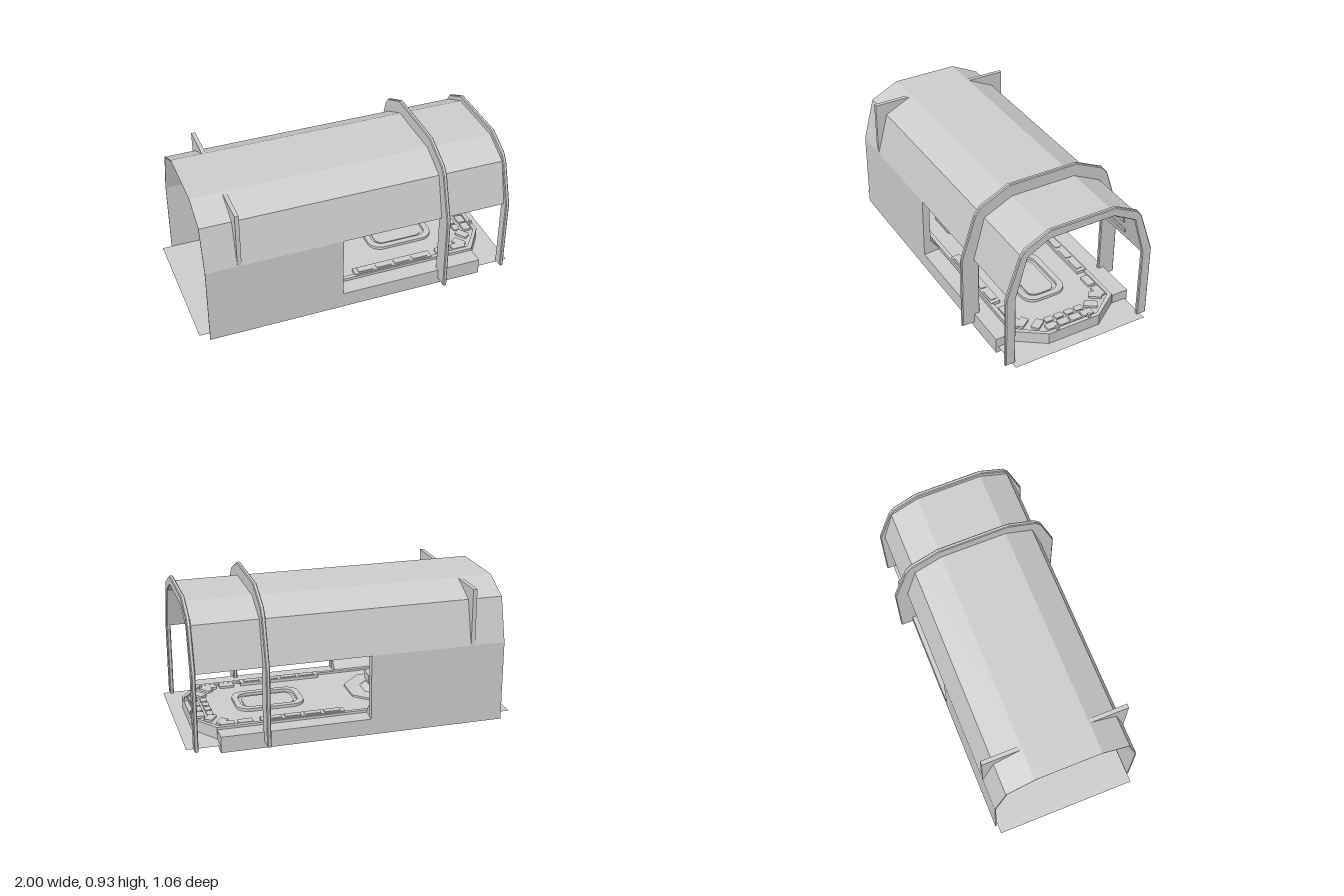
import * as THREE from 'three';

const grey = new THREE.MeshStandardMaterial({ color: 0xcccccc, flatShading: true, side: THREE.DoubleSide });

// Half sections as [z, y], from the side up to the roof
const OUTER = [[0.45, 0.5], [0.38, 0.768], [0.205, 0.855]];
const INNER = [[0.415, 0.5], [0.345, 0.752], [0.203, 0.83]];
const mirrored = (half) => [...half, ...half.slice().reverse().map(([z, y]) => [-z, y])];

function polygon(points) {
  return new THREE.Shape(points.map(([a, b]) => new THREE.Vector2(a, b)));
}

function roundedRect(w, h, r, cx = 0, cy = 0, Kind = THREE.Shape) {
  const s = new Kind();
  const x = w / 2 - r, y = h / 2 - r;
  s.absarc(cx + x, cy + y, r, 0, Math.PI / 2);
  s.absarc(cx - x, cy + y, r, Math.PI / 2, Math.PI);
  s.absarc(cx - x, cy - y, r, Math.PI, Math.PI * 1.5);
  s.absarc(cx + x, cy - y, r, Math.PI * 1.5, Math.PI * 2);
  s.closePath();
  return s;
}

export function createModel() {
  const model = new THREE.Group();

  function add(parent, name, geometry) {
    const mesh = new THREE.Mesh(geometry, grey);
    mesh.name = name;
    parent.add(mesh);
    return mesh;
  }
  function group(name) {
    const g = new THREE.Group();
    g.name = name;
    model.add(g);
    return g;
  }
  // Cross-section in [z, y] swept along x
  function alongX(parent, name, shape, x0, x1, bevel = 0) {
    const g = new THREE.ExtrudeGeometry(shape, {
      depth: x1 - x0 - 2 * bevel, curveSegments: 4, bevelEnabled: bevel > 0,
      bevelSize: bevel, bevelThickness: bevel, bevelOffset: -bevel, bevelSegments: 1,
    });
    g.translate(0, 0, bevel).rotateY(Math.PI / 2).translate(x0, 0, 0);
    return add(parent, name, g);
  }
  const section = (points) => polygon(points.map(([z, y]) => [-z, y]));
  // Plan outline in [x, z] raised from y0 to y1
  function upward(parent, name, shape, y0, y1) {
    const g = new THREE.ExtrudeGeometry(shape, { depth: y1 - y0, bevelEnabled: false, curveSegments: 5 });
    g.rotateX(-Math.PI / 2).translate(0, y0, 0);
    return add(parent, name, g);
  }
  function box(parent, name, x0, x1, y0, y1, z0, z1) {
    const g = new THREE.BoxGeometry(x1 - x0, y1 - y0, Math.abs(z1 - z0));
    g.translate((x0 + x1) / 2, (y0 + y1) / 2, (z0 + z1) / 2);
    return add(parent, name, g);
  }

  // Ground sheet
  add(model, 'groundSheet', new THREE.PlaneGeometry(2, 0.872).rotateX(-Math.PI / 2).translate(0, 0.04, 0));

  // Hull: faceted roof, rear walls, and low sills below the open windows
  const hull = group('hull');
  const tail = OUTER.map(([z, y]) => [z - 0.008, y - 0.004]);
  const shell = (inner) => section([...mirrored(OUTER), ...mirrored(inner).reverse()]);
  alongX(hull, 'roof', shell(INNER), -0.74, 0.94);
  alongX(hull, 'rearRoof', shell(tail), -0.94, -0.74);
  for (const s of [1, -1]) {
    box(hull, 'rearSideWall', -0.94, -0.74, 0, 0.5, s * 0.442, s * 0.45);
    box(hull, 'sideWall', -0.74, -0.11, 0, 0.5, s * 0.415, s * 0.45);
    box(hull, 'windowSill', -0.11, 0.8, 0, 0.1, s * 0.345, s * 0.45);
    box(hull, 'windowPost', -0.12, -0.105, 0.1, 0.5, s * 0.405, s * 0.45);
    // Corner fin standing on the sloping roof
    alongX(hull, 'fin', section([[0.215, 0.85], [0.45, 0.85], [0.45, 0.5], [0.38, 0.766]].map(([z, y]) => [s * z, y])), -0.75, -0.725);
  }

  // Two bevelled arches
  function arch(name, x, half, inner) {
    const outer = mirrored([[half[0][0], 0.035], ...half]);
    const inside = mirrored([[inner[0][0], 0.035], ...inner]).reverse();
    alongX(model, name, section([...outer, ...inside]), x - 0.012, x + 0.012, 0.005);
  }
  arch('middleArch', 0.532, [[0.528, 0.515], [0.437, 0.8], [0.4, 0.848], [0.222, 0.933]], INNER);
  arch('endArch', 0.946, [[0.477, 0.51], [0.39, 0.77], [0.362, 0.81], [0.21, 0.886]], INNER);

  // Rear bulkhead with an eight-sided door and raised panels
  const bulkhead = group('bulkhead');
  alongX(bulkhead, 'bulkheadWall', section(mirrored([[0.3, 0.16], [0.42, 0.2], ...INNER])), -0.75, -0.735);
  const door = [[0.105, 0.135], [0.145, 0.28], [0.145, 0.345], [0.065, 0.42]];
  const frame = [[0.115, 0.125], [0.155, 0.277], [0.155, 0.35], [0.07, 0.43]];
  alongX(bulkhead, 'doorFrame', section([...mirrored(frame), ...mirrored(door).reverse()]), -0.765, -0.72);
  alongX(bulkhead, 'door', section(mirrored(door)), -0.758, -0.728);
  // Each panel: z, y, width, height
  const panels = [
    [0.14, 0.452, 0.09, 0.03], [0.15, 0.39, 0.085, 0.052], [0.185, 0.315, 0.04, 0.046],
    [0.17, 0.23, 0.052, 0.066], [0.31, 0.315, 0.13, 0.022], [0.36, 0.253, 0.068, 0.016],
    [0.275, 0.253, 0.065, 0.016], [0.36, 0.204, 0.068, 0.016], [0.275, 0.204, 0.065, 0.016],
  ];
  for (const [z, y, w, h] of panels) for (const s of [1, -1]) {
    alongX(bulkhead, 'wallPanel', roundedRect(w, h, Math.min(w, h) * 0.25, -s * z, y), -0.74, -0.728, 0.002);
  }
  for (const y of [0.45, 0.47]) {
    alongX(bulkhead, 'topPanel', roundedRect(0.122, 0.018, 0.004, 0, y), -0.74, -0.726, 0.002);
  }

  // Deck with chamfered ends, a rim and perimeter panels
  const deck = group('deck');
  const plan = (grow) => {
    const half = [[0.92 + grow, 0.17], [0.8 + grow * 0.6, 0.34 + grow], [-0.56, 0.34 + grow], [-0.72 - grow, 0.2]];
    return [...half, ...half.slice().reverse().map(([x, z]) => [x, -z])];
  };
  upward(deck, 'deckBase', polygon(plan(0)), 0.04, 0.1);
  const rim = polygon(plan(0));
  rim.holes.push(polygon(plan(-0.025)));
  upward(deck, 'deckRim', rim, 0.1, 0.113);
  function panel(x, z, w, d, angle, y = 0.1, h = 0.014) {
    const m = upward(deck, 'deckPanel', roundedRect(w, d, 0.008), 0, h);
    m.position.set(x, y, z);
    m.rotation.y = angle;
  }
  for (const z of [-0.12, -0.04, 0.04, 0.12]) {
    panel(0.862, z, 0.05, 0.07, 0);
    panel(0.8, z * 0.85, 0.04, 0.055, 0, 0.1, 0.008);
  }
  for (const s of [1, -1]) {
    for (const t of [0.25, 0.72]) {
      panel(0.86 - 0.12 * t - 0.02, s * (0.165 + 0.15 * t - 0.02), 0.05, 0.08, s * 0.6);
    }
    // Low side consoles by the windows
    box(deck, 'sideConsole', 0.02, 0.53, 0.1, 0.119, s * 0.27, s * 0.33);
    for (let i = 0; i < 4; i++) panel(0.095 + i * 0.12, s * 0.3, 0.1, 0.04, 0, 0.119, 0.005);
    for (let i = 0; i < 2; i++) panel(0.62 + i * 0.11, s * 0.285, 0.09, 0.05, 0);
    box(deck, 'rimKnob', 0.895, 0.915, 0.11, 0.135, s * 0.1, s * 0.115);
  }

  // Rounded frame set into the deck
  const ring = roundedRect(0.42, 0.28, 0.08, 0.42, 0);
  ring.holes.push(roundedRect(0.35, 0.21, 0.06, 0.42, 0, THREE.Path));
  upward(deck, 'floorFrame', ring, 0.1, 0.118);
  upward(deck, 'floorFrameInset', roundedRect(0.31, 0.17, 0.05, 0.42, 0), 0.1, 0.106);

  // Eight-sided pedestal table near the rear
  const table = group('pedestalTable');
  table.position.x = -0.32;
  const tiers = [['step', 0.24, 0.24, 0.1, 0.112], ['foot', 0.1, 0.14, 0.112, 0.14],
    ['neck', 0.108, 0.09, 0.14, 0.158], ['top', 0.108, 0.108, 0.158, 0.208]];
  for (const [name, top, bottom, y0, y1] of tiers) {
    const g = new THREE.CylinderGeometry(top, bottom, y1 - y0, 8);
    add(table, name, g.rotateY(Math.PI / 8).translate(0, (y0 + y1) / 2, 0));
  }

  // Sloped consoles along the rear interior
  const consoles = group('rearConsoles');
  for (const s of [1, -1]) {
    const side = (pts) => section(pts.map(([z, y]) => [s * z, y]));
    alongX(consoles, 'sideSkirt', side([[0.42, 0.09], [0.42, 0.2], [0.405, 0.19], [0.345, 0.11], [0.345, 0.09]]), -0.735, -0.11);
    alongX(consoles, 'cornerConsole', side([[0.415, 0.1], [0.415, 0.19], [0.2, 0.175], [0.175, 0.152], [0.235, 0.115], [0.26, 0.1]]), -0.735, -0.58);
    box(consoles, 'bulkheadSill', -0.75, -0.7, 0.155, 0.182, s * 0.11, s * 0.4);
  }

  // Raised panels on the inside of the roof
  const lining = group('roofLining');
  function liningPanel(from, to, t, x, length, width) {
    const dz = to[0] - from[0], dy = to[1] - from[1];
    for (const s of [1, -1]) {
      const m = upward(lining, 'liningPanel', roundedRect(length, width, 0.02 * Math.min(1, width * 8)), -0.006, 0.006);
      m.position.set(x, from[1] + dy * t, s * (from[0] + dz * t));
      m.rotation.x = s * Math.atan2(dy, -dz);
    }
  }
  for (const x of [-0.5, -0.2, 0.1, 0.38, 0.73]) {
    liningPanel(INNER[0], INNER[1], 0.72, x, 0.2, 0.08);
    liningPanel(INNER[0], INNER[1], 0.28, x, 0.16, 0.035);
    liningPanel(INNER[1], INNER[2], 0.5, x, 0.2, 0.09);
  }
  alongX(lining, 'ceilingPanel', section([[0.09, 0.832], [0.09, 0.824], [-0.09, 0.824], [-0.09, 0.832]]), 0.62, 0.86);
  for (const x of [-0.35, -0.05, 0.24]) {
    const thin = INNER.map(([z, y]) => [z - 0.012, y - 0.01]);
    alongX(lining, 'roofRib', section([...mirrored(INNER), ...mirrored(thin).reverse()]), x - 0.01, x + 0.01);
  }
  return model;
}
